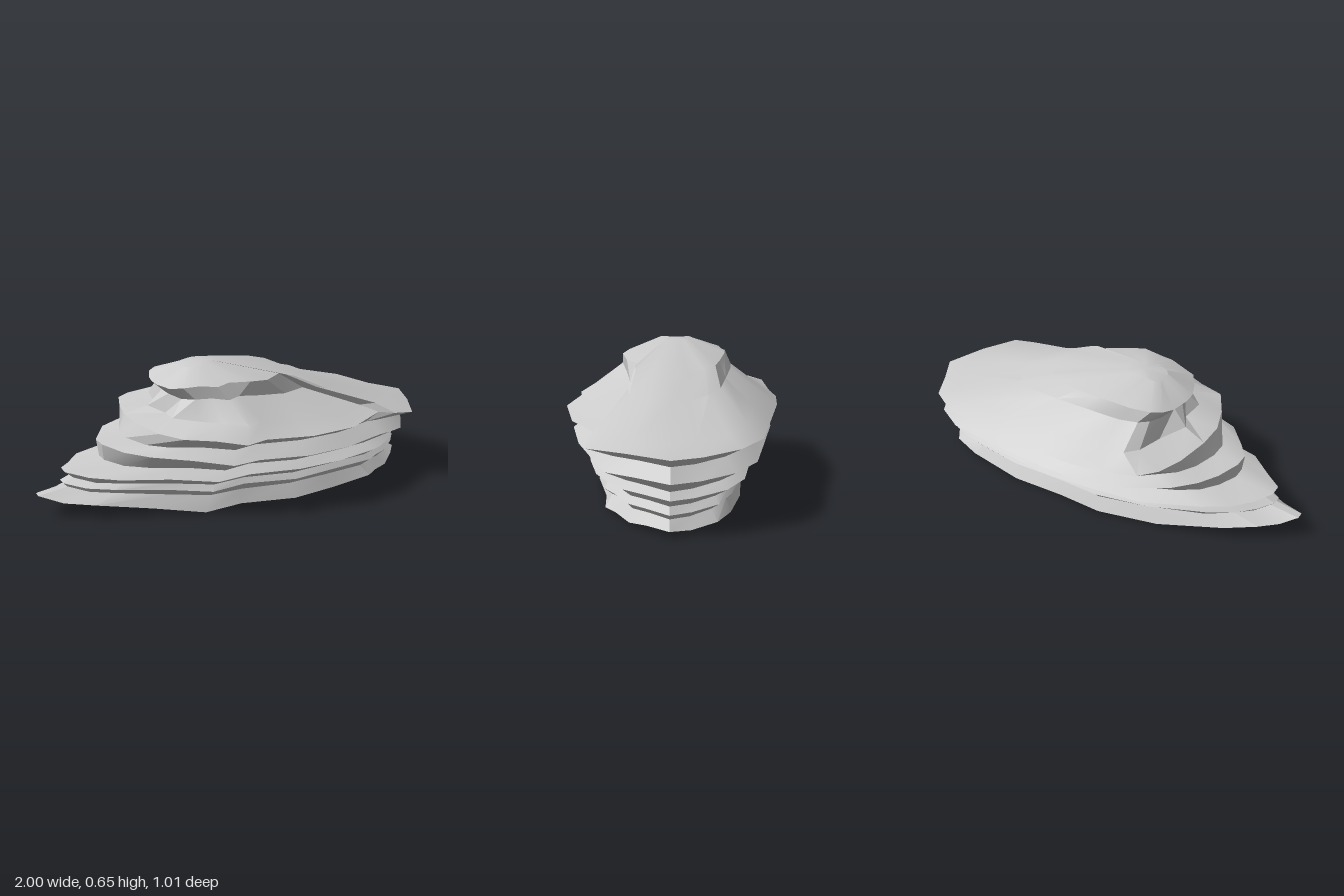
import * as THREE from 'three';
import { toCreasedNormals } from 'three/addons/utils/BufferGeometryUtils.js';

// Plan outline of the rock, normalised: [along, across], tail (+x) round the front to the tip (-x) and back
const OUTLINE = [
  [1, -0.04], [0.92, 0.34], [0.83, 0.68], [0.72, 0.7], [0.65, 0.62], [0.42, 0.89], [0.17, 1], [-0.1, 0.91],
  [-0.29, 0.94], [-0.52, 0.79], [-0.77, 0.68], [-0.9, 0.42], [-1, 0.1], [-1, -0.18], [-0.93, -0.5], [-0.85, -0.75],
  [-0.71, -0.89], [-0.4, -0.95], [-0.11, -1], [0.12, -0.99], [0.4, -0.9], [0.7, -0.81], [0.85, -0.61], [0.93, -0.3],
];
// Plain rounded corner used by the lower strata instead of the notched one (first stations, across only)
const PLAIN_CORNER = [-0.04, 0.24, 0.48, 0.68, 0.8];

// Each ring: x at tip, centre and tail; half depth; y at tip, middle and tail;
// pointedness of the tip; how much of the notched corner it keeps; waviness in y and in plan
const ring = (tip, centre, tail, depth, yTip, yMid, yTail, point = 0, notch = 1, rough = 0.006, jag = 0) =>
  ({ tip, centre, tail, depth, yTip, yMid, yTail, point, notch, rough, jag });

const LEDGES = [
  ring(-1.0, 0, 0.97, 0.345, 0.105, 0.009, 0.03, 0.6, 0, 0.009, 0.03),
  ring(-0.86, 0, 0.91, 0.31, 0.13, 0.075, 0.065, 0.5, 0, 0.006, 0.03),
  ring(-0.88, 0, 0.965, 0.352, 0.15, 0.112, 0.1, 0.5, 0, 0.006, 0.03),
  ring(-0.83, 0, 0.92, 0.33, 0.17, 0.138, 0.125, 0.45, 0, 0.006, 0.03),
  ring(-0.87, 0, 0.96, 0.41, 0.205, 0.18, 0.16, 0.45, 0, 0.006, 0.02),
  ring(-0.68, 0, 0.91, 0.355, 0.235, 0.212, 0.185, 0.35, 0.1, 0.006, 0.02),
  ring(-0.69, 0, 0.99, 0.475, 0.315, 0.268, 0.24, 0.4, 0.4),
  ring(-0.57, 0, 0.92, 0.4, 0.33, 0.322, 0.295, 0.2, 0.5),
  ring(-0.53, 0, 1.0, 0.505, 0.405, 0.374, 0.345),
];
const SUMMIT = [
  LEDGES[LEDGES.length - 1],
  ring(-0.37, 0, 0.89, 0.42, 0.425, 0.435, 0.378),
  ring(-0.35, -0.06, 0.52, 0.28, 0.515, 0.53, 0.472),
  ring(-0.405, -0.1, 0.32, 0.25, 0.565, 0.592, 0.562),
  ring(-0.28, -0.17, -0.07, 0.075, 0.635, 0.652, 0.648, 0, 1, 0),
];

function ringPoint(r, k) {
  const [u, full] = OUTLINE[k];
  const v = THREE.MathUtils.lerp(PLAIN_CORNER[k] ?? full, full, r.notch);
  const w = u * u;
  const x = r.centre + (u > 0 ? u * (r.tail - r.centre) : -u * (r.tip - r.centre));
  const wave = 1 + r.jag * Math.sin(k * 2.7 + r.depth * 30);
  const z = v * r.depth * wave * (u < 0 ? 1 - r.point * w : 1);
  const y = r.yMid + ((u > 0 ? r.yTail : r.yTip) - r.yMid) * w + r.rough * Math.sin(k * 2.1 + 0.4);
  return [x, y, z];
}

// Skin between stacked rings, with an optional apex closing the top
function skin(rings, apex, shape = (p) => p) {
  const n = OUTLINE.length;
  const pos = [];
  const index = [];
  rings.forEach((r, i) => {
    for (let k = 0; k < n; k++) pos.push(...shape(ringPoint(r, k), i, k));
  });
  for (let i = 0; i < rings.length - 1; i++) {
    for (let k = 0; k < n; k++) {
      const a = i * n + k, b = i * n + (k + 1) % n;
      index.push(a, a + n, b, b, a + n, b + n);
    }
  }
  if (apex) {
    const top = (rings.length - 1) * n;
    pos.push(...apex);
    for (let k = 0; k < n; k++) index.push(top + k, top + n, top + (k + 1) % n);
  }
  const g = new THREE.BufferGeometry();
  g.setAttribute('position', new THREE.Float32BufferAttribute(pos, 3));
  g.setIndex(index);
  return toCreasedNormals(g, 0.4);
}

// Gully cut into the front of the summit, and a ragged tip end
function erode([x, y, z], i, k) {
  if (k >= 4 && k <= 6 && (i === 1 || i === 2)) return [x, y - 0.02, z * (i === 2 ? 0.8 : 0.96)];
  if (k >= 10 && k <= 14 && i === 1) return [x - 0.05 * (k % 2), y + 0.015 * (k % 2), z * 0.85];
  return [x, y, z];
}

export function createModel() {
  const group = new THREE.Group();
  group.name = 'layeredRock';
  const material = new THREE.MeshStandardMaterial({ color: 0xcccccc, side: THREE.DoubleSide });

  // Overhanging strata, open underneath
  const ledges = new THREE.Mesh(skin(LEDGES), material);
  ledges.name = 'rockLedges';

  // Sloping crown with an overhanging brow at the tip end
  const summit = new THREE.Mesh(skin(SUMMIT, [-0.16, 0.655, 0], erode), material);
  summit.name = 'rockSummit';

  group.add(ledges, summit);
  return group;
}
